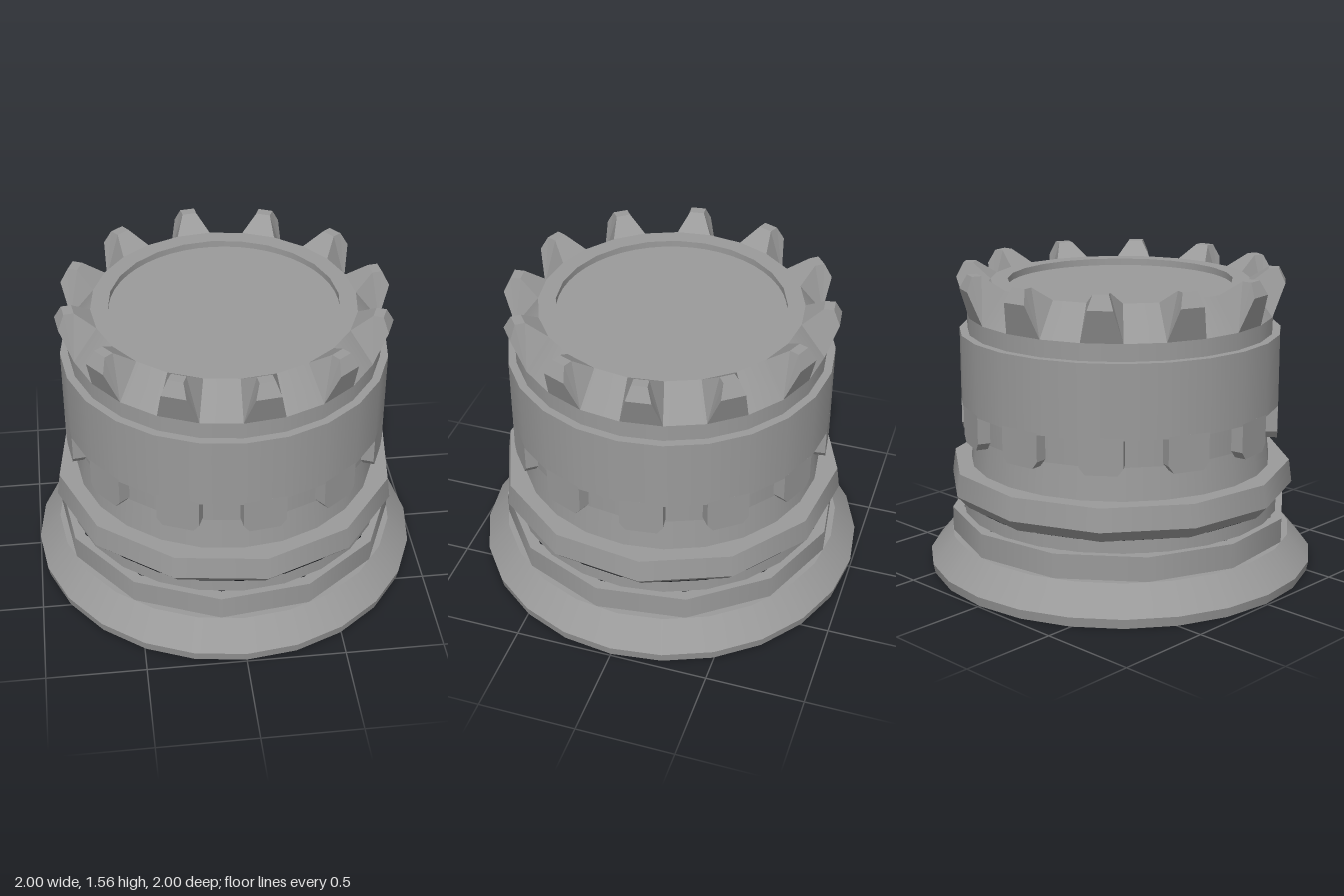
import * as THREE from 'three';
import { mergeGeometries } from 'three/addons/utils/BufferGeometryUtils.js';

const rad = THREE.MathUtils.degToRad;
const material = new THREE.MeshStandardMaterial({ color: 0x9a9a9a, side: THREE.DoubleSide });

// Turned part: every profile segment is its own band, so its edges stay sharp
function turned(name, profile, sides = 24, offset = 0) {
  const bands = [];
  for (let i = 0; i < profile.length - 1; i++) {
    const pair = [profile[i], profile[i + 1]].map(([r, y]) => new THREE.Vector2(r, y));
    bands.push(new THREE.LatheGeometry(pair, sides, rad(offset), Math.PI * 2));
  }
  const mesh = new THREE.Mesh(mergeGeometries(bands), material);
  mesh.name = name;
  return mesh;
}

// Wedge tooth from rows of [radius, height, half angle], centred on +z
function toothGeometry() {
  const rows = [[0.78, 1.325, 7.5], [0.835, 1.49, 4.2], [0.8, 1.56, 2.7], [0.75, 1.56, 2.8], [0.657, 1.49, 7.5]];
  const positions = [];
  for (const [r, y, a] of rows) {
    const s = Math.sin(rad(a)) * r, c = Math.cos(rad(a)) * r;
    positions.push(-s, y, c, s, y, c);
  }
  const index = [];
  for (let i = 0; i < rows.length - 1; i++) {
    const a = i * 2;
    index.push(a, a + 1, a + 3, a, a + 3, a + 2);
    // Side fans
    if (i > 0) index.push(0, a, a + 2, 1, a + 3, a + 1);
  }
  const geometry = new THREE.BufferGeometry();
  geometry.setAttribute('position', new THREE.Float32BufferAttribute(positions, 3));
  geometry.setIndex(index);
  const flat = geometry.toNonIndexed();
  flat.computeVertexNormals();
  return flat;
}

// Hanging tab with chamfered lower corners
function tabGeometry() {
  const w = 0.107, c = 0.078;
  const shape = new THREE.Shape([[-w, 0.88], [-w, 0.735], [-c, 0.697], [c, 0.697], [w, 0.735], [w, 0.88]]
    .map(([x, y]) => new THREE.Vector2(x, y)));
  const geometry = new THREE.ExtrudeGeometry(shape, { depth: 0.073, bevelEnabled: false });
  return geometry.translate(0, 0, 0.74);
}

export function createModel() {
  const model = new THREE.Group();
  model.name = 'turret';

  model.add(
    // Hollow flared foot with its inner face
    turned('flaredFoot', [[0.85, 0.187], [0.965, 0.04], [0.98, 0], [0.99, 0], [1, 0.05], [0.885, 0.187], [0.845, 0.187]]),
    turned('footDrum', [[0.877, 0.187], [0.877, 0.312], [0.82, 0.312]], 12, 22.5),
    turned('neck', [[0.82, 0.31], [0.82, 0.378]]),
    // Twelve-sided collar, open below
    turned('collar', [[0.82, 0.376], [0.835, 0.376], [0.893, 0.44], [0.877, 0.557], [0.7, 0.557]], 12, 7.5),
    // Ceiling of the hollow base, inside the collar
    turned('baseCeiling', [[0, 0.5], [0.882, 0.5]], 12, 7.5),
    turned('body', [[0.775, 0.557], [0.757, 0.72], [0.757, 0.88]]),
    turned('sleeve', [[0.75, 0.87], [0.82, 0.87], [0.82, 1.24], [0.77, 1.24]]),
    // Sloped crown with a recessed top
    turned('crown', [[0.78, 1.24], [0.78, 1.325], [0.657, 1.49], [0.57, 1.49]]),
    turned('topRecess', [[0.57, 1.49], [0.57, 1.455], [0, 1.455]], 48),
  );

  // Teeth and tabs share the same twelve positions
  const tooth = toothGeometry(), tab = tabGeometry();
  for (let i = 0; i < 12; i++) {
    for (const [name, geometry] of [['crownTooth', tooth], ['sleeveTab', tab]]) {
      const mesh = new THREE.Mesh(geometry, material);
      mesh.name = name;
      mesh.rotation.y = rad(7.5 + i * 30);
      model.add(mesh);
    }
  }
  return model;
}
